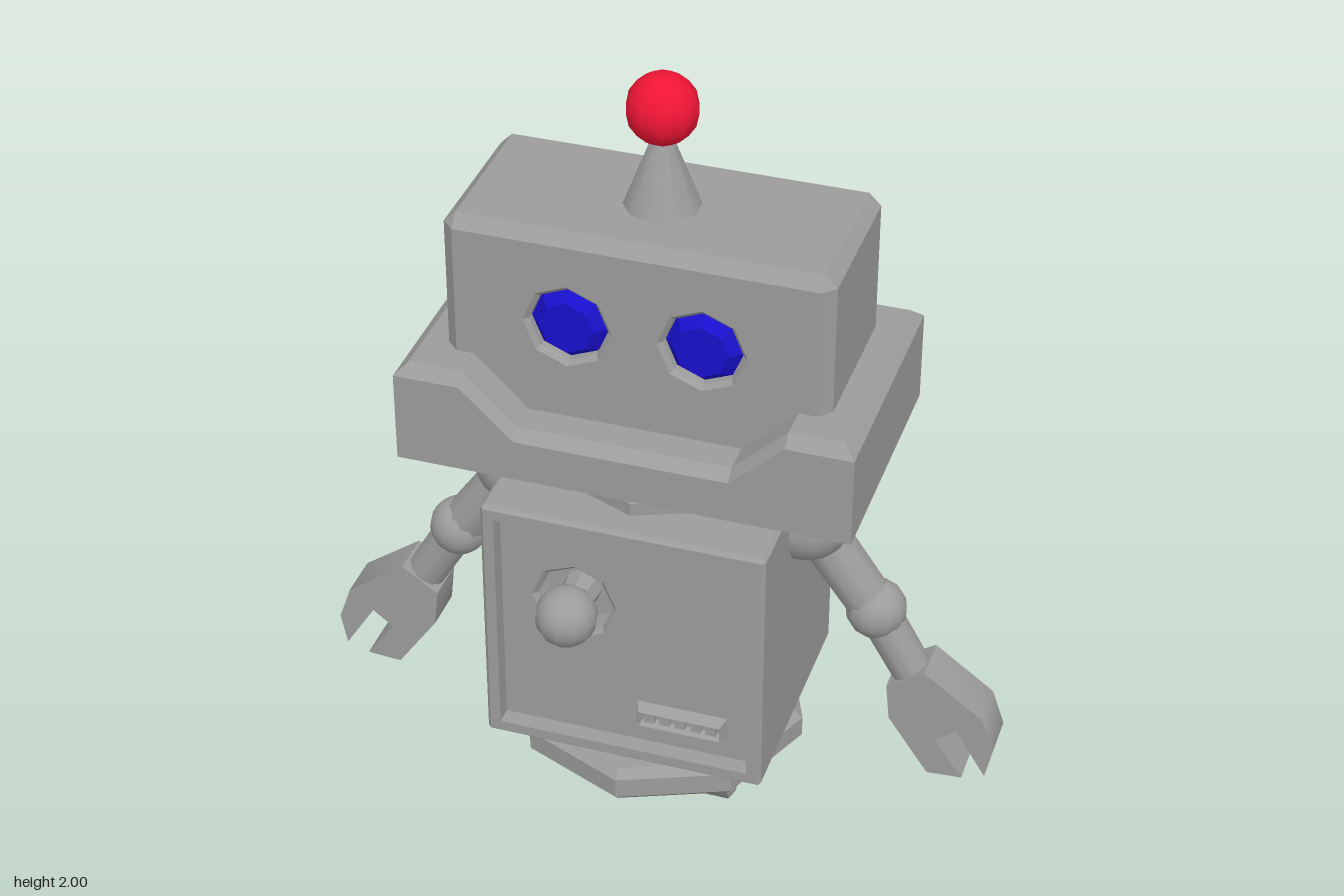
import * as THREE from 'three';
import { toCreasedNormals } from 'three/addons/utils/BufferGeometryUtils.js';

const CZ = -0.02; // depth of the robot's centre line

const material = (color, flat, side = THREE.FrontSide) =>
  new THREE.MeshStandardMaterial({ color, flatShading: flat, side });
const METAL = 0x9c9c9c;
const grey = material(METAL, true);
const greySmooth = material(METAL, false);
const greyOpen = material(METAL, true, THREE.DoubleSide);
const red = material(0xf01535, false);
const blue = material(0x1810cc, true);

// Joins equal-length rings of [x, y, z] corners; closes the first and optionally the last.
function loft(rings, capLast) {
  const n = rings[0].length;
  const pos = [];
  const tri = (...pts) => pts.forEach(p => pos.push(...p));
  for (let r = 0; r < rings.length - 1; r++) {
    for (let i = 0; i < n; i++) {
      const j = (i + 1) % n, a = rings[r], b = rings[r + 1];
      tri(a[i], a[j], b[j]);
      tri(a[i], b[j], b[i]);
    }
  }
  const first = rings[0], last = rings[rings.length - 1];
  for (let i = 1; i < n - 1; i++) {
    tri(first[0], first[i + 1], first[i]);
    if (capLast) tri(last[0], last[i], last[i + 1]);
  }
  const geo = new THREE.BufferGeometry();
  geo.setAttribute('position', new THREE.Float32BufferAttribute(pos, 3));
  geo.computeVertexNormals();
  return geo;
}

// Upright rectangle at depth z, shrunk by an inset
const rect = (w, y0, y1, z, inset = 0) => {
  const x = w - inset, b = y0 + inset, t = y1 - inset;
  return [[-x, b, z], [x, b, z], [x, t, z], [-x, t, z]];
};

// Upright rectangle as eight corners: cut by c at the corners, or shrunk by c with doubled corners
const cutRect = (x, b, t, z, c) => [
  [-x + c, b, z], [x - c, b, z], [x, b + c, z], [x, t - c, z],
  [x - c, t, z], [-x + c, t, z], [-x, t - c, z], [-x, b + c, z]];
const squareRect = (...args) => {
  const [a, b, c, d] = rect(...args);
  return [a, b, b, c, c, d, d, a];
};

// Rings of a box with every edge chamfered by c, from back to front
const chamferRings = (w, y0, y1, back, front, c) => [
  squareRect(w, y0, y1, back, c), cutRect(w, y0, y1, back + c, c),
  cutRect(w, y0, y1, front - c, c), squareRect(w, y0, y1, front, c)];

// Flat front plate with octagonal openings
function plate(corners, holes, r) {
  const shape = new THREE.Shape(corners.map(([x, y]) => new THREE.Vector2(x, y)));
  for (const [hx, hy] of holes) {
    const pts = [];
    for (let i = 0; i < 8; i++) {
      const a = -i * Math.PI / 4;
      pts.push(new THREE.Vector2(hx + r * Math.cos(a), hy + r * Math.sin(a)));
    }
    shape.holes.push(new THREE.Path(pts));
  }
  return new THREE.ShapeGeometry(shape).translate(0, 0, corners[0][2]);
}

// Eight-sided turned part from [radius, height] pairs
const turned = pairs => new THREE.LatheGeometry(pairs.map(([r, y]) => new THREE.Vector2(r, y)), 8);

export function createModel() {
  const model = new THREE.Group();
  const add = (name, geo, mat = grey, x = 0, y = 0, z = 0, parent = model) => {
    const mesh = new THREE.Mesh(geo, mat);
    mesh.name = name;
    mesh.position.set(x, y, z);
    parent.add(mesh);
    return mesh;
  };
  // Cylinder between two points
  const limb = (name, a, b, r0, r1, parent) => {
    const from = new THREE.Vector3(...a), to = new THREE.Vector3(...b);
    const dir = to.clone().sub(from);
    const mesh = add(name, new THREE.CylinderGeometry(r1, r0, dir.length(), 10), greySmooth, 0, 0, 0, parent);
    mesh.position.copy(from).addScaledVector(dir, 0.5);
    mesh.quaternion.setFromUnitVectors(new THREE.Vector3(0, 1, 0), dir.normalize());
  };
  // Sunken octagonal cup with a chamfered rim, facing front
  const socket = (name, x, y, z, r) =>
    add(name, turned([[0, -0.07], [r - 0.012, -0.07], [r - 0.012, -0.012], [r, 0]]).rotateX(Math.PI / 2), greyOpen, x, y, z);

  // Head: chamfered box with an opened front plate
  add('head', loft(chamferRings(0.475, 1.08, 1.66, -0.245, 0.195, 0.03), false));
  const eyes = [[-0.165, 1.415], [0.165, 1.415]];
  add('face', plate(rect(0.445, 1.11, 1.63, 0.195), eyes, 0.11));
  for (const [x, y] of eyes) {
    socket('eyeSocket', x, y, 0.195, 0.11);
    add('eye', turned([[0.096, -0.07], [0.096, -0.03], [0.068, 0.003], [0, 0.003]]).rotateX(Math.PI / 2), blue, x, y, 0.197);
  }

  // Jaw: wide collar whose front dips below the face
  const jawRing = (x, front, back, yHigh, yLow) => [
    [x, yHigh, front], [x, yHigh, back], [-x, yHigh, back], [-x, yHigh, front],
    [-0.4, yHigh, front], [-0.265, yLow, front], [0.265, yLow, front], [0.4, yHigh, front]];
  add('jaw', loft([
    jawRing(0.565, 0.305, -0.34, 1.03, 1.03), jawRing(0.565, 0.305, -0.34, 1.265, 1.138),
    jawRing(0.535, 0.275, -0.31, 1.293, 1.163), jawRing(0.45, 0.18, -0.23, 1.293, 1.163)], false));

  // Antenna
  add('antennaCone', new THREE.CylinderGeometry(0.018, 0.095, 0.2, 10), greySmooth, 0, 1.755, CZ);
  add('antennaBall', new THREE.SphereGeometry(0.088, 10, 8), red, 0, 1.912, CZ);

  // Neck
  add('neck', new THREE.CylinderGeometry(0.215, 0.215, 0.1, 8), grey, 0, 1.0, CZ);
  add('neckCollar', turned([[0.25, 0.91], [0.25, 0.965], [0.235, 0.985], [0, 0.985]]), grey, 0, 0, CZ);

  // Body with a recessed front panel
  const [b0, b1] = [0.225, 0.93];
  add('body', loft([
    ...chamferRings(0.36, b0, b1, -0.335, 0.305, 0.009),
    squareRect(0.36, b0, b1, 0.305, 0.036), squareRect(0.36, b0, b1, 0.26, 0.036)], false));
  const dial = [-0.137, 0.655];
  add('frontPanel', plate(rect(0.36, b0, b1, 0.26, 0.036), [dial], 0.11));
  socket('dialSocket', ...dial, 0.26, 0.11);
  add('dialStem', new THREE.CylinderGeometry(0.035, 0.05, 0.12, 8).rotateX(Math.PI / 2), grey, ...dial, 0.25);
  add('dialKnob', new THREE.SphereGeometry(0.078, 12, 10), greySmooth, ...dial, 0.316);

  // Vent: sloped tray with small bars
  add('ventFrame', loft([
    rect(0.117, -0.033, 0.033, 0), rect(0.117, -0.033, 0.033, 0.03, 0.012),
    rect(0.117, -0.033, 0.033, 0.004, 0.018)], true), grey, 0.143, 0.352, 0.26);
  for (let i = 0; i < 5; i++) {
    add('ventBar', new THREE.BoxGeometry(0.026, 0.032, 0.016), grey, 0.063 + i * 0.04, 0.352, 0.27);
  }

  // Base plate
  add('base', turned([[0, 0.122], [0.36, 0.122], [0.378, 0.14], [0.378, 0.195], [0.355, 0.217],
    [0.3, 0.217], [0.3, 0.23], [0, 0.23]]), grey, 0, 0, CZ);

  // Arms
  for (const s of [1, -1]) {
    const arm = new THREE.Group();
    arm.name = s > 0 ? 'leftArm' : 'rightArm';
    model.add(arm);
    const z = -0.037;
    add('shoulder', new THREE.SphereGeometry(0.12, 16, 12), greySmooth, s * 0.372, 0.852, CZ, arm);
    limb('upperArm', [s * 0.38, 0.82, z], [s * 0.55, 0.585, z], 0.066, 0.062, arm);
    add('elbow', new THREE.SphereGeometry(0.077, 14, 10), greySmooth, s * 0.553, 0.585, z, arm);
    limb('forearm', [s * 0.553, 0.585, z], [s * 0.655, 0.41, z], 0.055, 0.053, arm);
    // Claw: rounded along its outer edge
    const claw = [[0.602, 0.39], [0.697, 0.454], [0.85, 0.343], [0.883, 0.248], [0.866, 0.164],
      [0.787, 0.29], [0.734, 0.248], [0.808, 0.143], [0.718, 0.137], [0.612, 0.29]];
    const shape = new THREE.Shape(claw.map(([x, y]) => new THREE.Vector2(s * x, y)));
    const clawGeo = new THREE.ExtrudeGeometry(shape, { depth: 0.12, bevelEnabled: false });
    add('claw', toCreasedNormals(clawGeo, 0.8), greySmooth, 0, 0, -0.1, arm);
  }

  // Rollers with slightly sunken ends
  const rollerGeo = toCreasedNormals(turned([[0, -0.075], [0.08, -0.075], [0.08, -0.09], [0.09, -0.09],
    [0.09, 0.09], [0.08, 0.09], [0.08, 0.075], [0, 0.075]]).rotateZ(Math.PI / 2), 0.9);
  for (const x of [-0.145, 0.145]) {
    for (const z of [0.09, -0.1]) {
      add('roller', rollerGeo, greySmooth, x, 0.09, z);
    }
  }
  return model;
}
